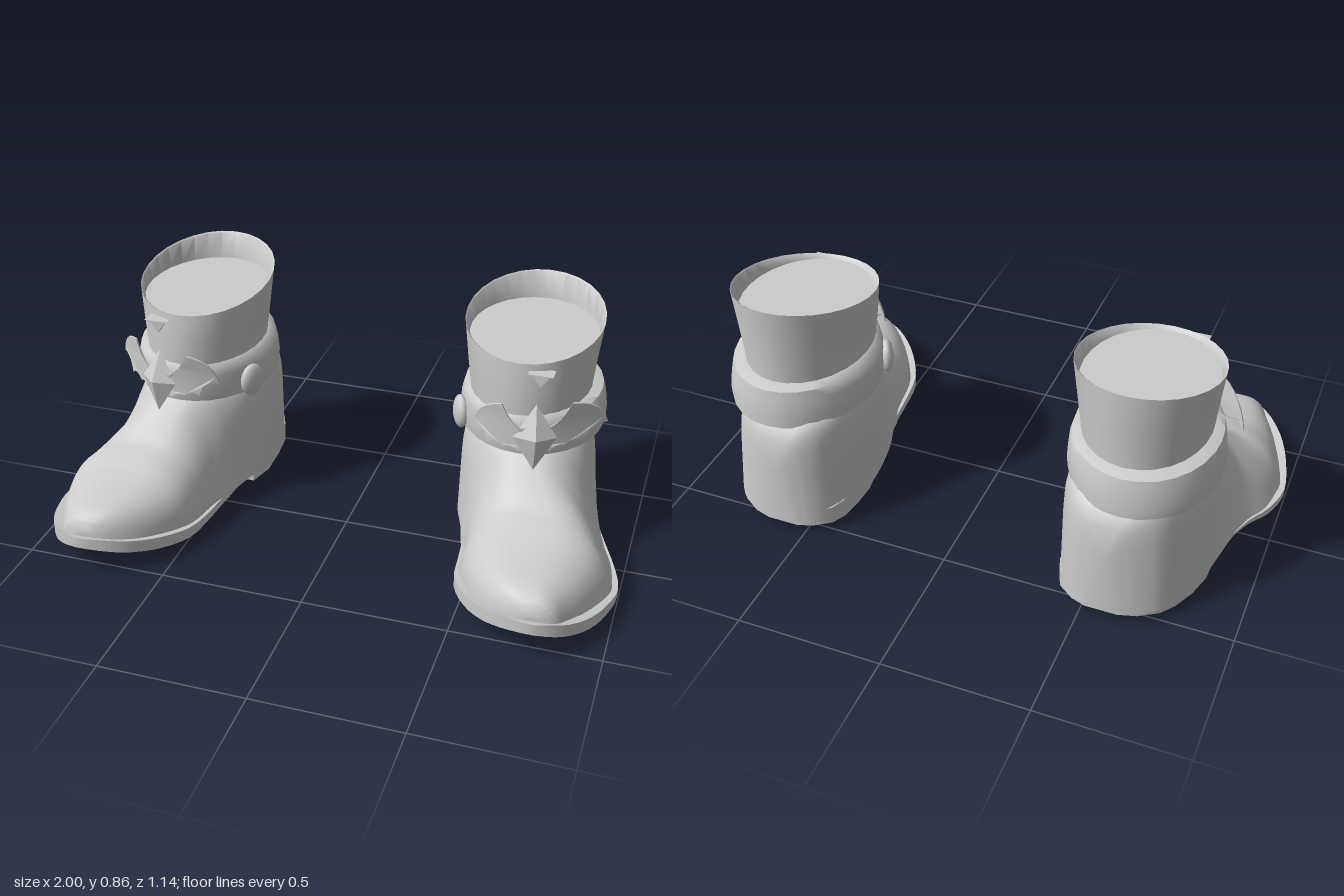
import * as THREE from 'three';
import { toCreasedNormals } from 'three/addons/utils/BufferGeometryUtils.js';

// Skin over closed rings of points, capped at both ends and facing outward
function loft(rings) {
  const n = rings[0].length, pts = rings.flat(), idx = [];
  for (let r = 0; r < rings.length - 1; r++) {
    for (let i = 0; i < n; i++) {
      const a = r * n + i, b = r * n + (i + 1) % n;
      idx.push(a, b, b + n, a, b + n, a + n);
    }
  }
  const cap = (start, flip) => {
    const mid = new THREE.Vector3();
    for (let i = 0; i < n; i++) mid.addScaledVector(pts[start + i], 1 / n);
    const m = pts.push(mid) - 1;
    for (let i = 0; i < n; i++) {
      const a = start + i, b = start + (i + 1) % n;
      idx.push(m, flip ? b : a, flip ? a : b);
    }
  };
  const last = (rings.length - 1) * n;
  cap(0, true);
  cap(last, false);
  let volume = 0;
  const cross = new THREE.Vector3();
  for (let i = 0; i < idx.length; i += 3) {
    volume += cross.crossVectors(pts[idx[i]], pts[idx[i + 1]]).dot(pts[idx[i + 2]]);
  }
  if (volume < 0) idx.reverse();
  const g = new THREE.BufferGeometry().setFromPoints(pts);
  g.setIndex(idx);
  return g;
}

// Interpolate station rows smoothly; the first column must increase
function smooth(rows, steps) {
  const out = [];
  for (let i = 0; i < rows.length - 1; i++) {
    const p = rows[Math.max(i - 1, 0)], a = rows[i], b = rows[i + 1], q = rows[Math.min(i + 2, rows.length - 1)];
    for (let s = 0; s < steps; s++) {
      const t = s / steps;
      out.push(a.map((v, k) => {
        const m0 = (b[k] - p[k]) / (b[0] - p[0]) * (b[0] - a[0]);
        const m1 = (q[k] - a[k]) / (q[0] - a[0]) * (b[0] - a[0]);
        return (2 * t ** 3 - 3 * t * t + 1) * v + (t ** 3 - 2 * t * t + t) * m0
          + (3 * t * t - 2 * t ** 3) * b[k] + (t ** 3 - t * t) * m1;
      }));
    }
  }
  out.push(rows[rows.length - 1]);
  return out;
}

// Arched section: z, bottom x range, bottom y, top y, top x range, squareness
function arch([z, xi, xo, yb, yt, ti, to, e], n = 22) {
  const ring = [];
  for (let i = 0; i <= n; i++) {
    const a = Math.PI * i / n, c = Math.cos(a);
    const px = Math.sign(c) * Math.abs(c) ** e, py = Math.max(Math.sin(a), 0) ** e;
    const mid = THREE.MathUtils.lerp((xi + xo) / 2, (ti + to) / 2, py);
    const half = THREE.MathUtils.lerp((xo - xi) / 2, (to - ti) / 2, py);
    ring.push(new THREE.Vector3(mid + half * px, yb + (yt - yb) * py, z));
  }
  return ring;
}

// Horizontal ellipse: y, x range, z range, rise toward the back
function oval([y, x0, x1, z0, z1, slope = 0], n = 28) {
  return Array.from({ length: n }, (_, i) => {
    const a = Math.PI * 2 * i / n;
    const z = (z0 + z1) / 2 + (z1 - z0) / 2 * Math.sin(a);
    return new THREE.Vector3((x0 + x1) / 2 + (x1 - x0) / 2 * Math.cos(a), y + (z1 - z) * slope, z);
  });
}

// Four-cornered section for the sole and heel: z, x range, y range
const slab = ([z, x0, x1, y0, y1]) =>
  [[x0, y0], [x1, y0], [x1, y1], [x0, y1]].map(([x, y]) => new THREE.Vector3(x, y, z));

// Mirror loose triangles in x and keep them facing outward
function mirrorX(g) {
  const p = g.attributes.position.array;
  for (let i = 0; i < p.length; i += 9) {
    for (let k = 0; k < 3; k++) [p[i + k], p[i + 6 + k]] = [p[i + 6 + k], p[i + k]];
    for (let k = 0; k < 9; k += 3) p[i + k] *= -1;
  }
}

// Crease the normals, mirroring for the right boot
function finish(source, mirror, angle) {
  const g = source.index ? source.toNonIndexed() : source.clone();
  for (const key of Object.keys(g.attributes)) if (key !== 'position') g.deleteAttribute(key);
  g.clearGroups();
  if (mirror) mirrorX(g);
  return toCreasedNormals(g, angle);
}

export function createModel() {
  const leather = new THREE.MeshStandardMaterial({ color: 0xcccccc });
  leather.name = 'grey leather';
  const parts = [];
  const part = (name, geometry, angle = 0.8) => parts.push({ name, geometry, angle });

  // Foot and ankle
  part('footUpper', loft(smooth([
    [-0.57, 0.53, 0.62, 0.06, 0.33, 0.54, 0.61, 0.4],
    [-0.55, 0.475, 0.685, 0.05, 0.40, 0.485, 0.66, 0.35],
    [-0.50, 0.42, 0.76, 0.05, 0.45, 0.43, 0.73, 0.3],
    [-0.40, 0.385, 0.82, 0.05, 0.47, 0.385, 0.78, 0.25],
    [-0.25, 0.37, 0.86, 0.06, 0.47, 0.375, 0.82, 0.25],
    [-0.10, 0.385, 0.895, 0.08, 0.47, 0.395, 0.81, 0.35],
    [0.00, 0.42, 0.93, 0.07, 0.455, 0.46, 0.78, 0.5],
    [0.06, 0.435, 0.96, 0.055, 0.41, 0.49, 0.80, 0.68],
    [0.12, 0.455, 0.975, 0.05, 0.35, 0.49, 0.86, 0.72],
    [0.17, 0.465, 0.98, 0.05, 0.305, 0.49, 0.91, 0.72],
    [0.22, 0.47, 0.985, 0.05, 0.285, 0.49, 0.94, 0.72],
    [0.30, 0.485, 0.965, 0.055, 0.255, 0.50, 0.93, 0.7],
    [0.40, 0.54, 0.925, 0.065, 0.235, 0.55, 0.90, 0.7],
    [0.48, 0.605, 0.88, 0.085, 0.22, 0.62, 0.86, 0.7],
    [0.525, 0.67, 0.85, 0.10, 0.195, 0.68, 0.84, 0.7],
    [0.545, 0.72, 0.81, 0.11, 0.16, 0.73, 0.80, 0.7],
  ], 3).map((s) => arch(s))), 0.9);

  // Upturned sole edge
  part('sole', loft(smooth([
    [-0.14, 0.41, 0.88, 0.08, 0.085],
    [-0.02, 0.42, 0.925, 0.07, 0.085],
    [0.08, 0.445, 0.97, 0.045, 0.07],
    [0.20, 0.458, 1.0, 0.04, 0.07],
    [0.32, 0.475, 0.98, 0.045, 0.085],
    [0.43, 0.535, 0.94, 0.06, 0.105],
    [0.51, 0.61, 0.885, 0.08, 0.125],
    [0.55, 0.68, 0.835, 0.095, 0.14],
    [0.57, 0.75, 0.785, 0.105, 0.145],
  ], 3).map(slab)));

  // Heel block with a gently worn base
  part('heel', loft([
    [-0.565, 0.52, 0.63, 0.04, 0.1],
    [-0.545, 0.47, 0.69, 0.037, 0.1],
    [-0.50, 0.415, 0.755, 0.033, 0.1],
    [-0.45, 0.395, 0.79, 0.03, 0.1],
    [-0.36, 0.39, 0.825, 0.018, 0.1],
    [-0.26, 0.395, 0.845, 0.002, 0.1],
    [-0.135, 0.41, 0.855, 0.02, 0.09],
  ].map(slab)), 1.2);

  // Shaft with a thin slanted rim and a recessed inside
  part('shaft', loft([
    [0.46, 0.395, 0.805, -0.49, 0.045],
    [0.58, 0.39, 0.805, -0.49, 0.048, 0.02],
    [0.67, 0.375, 0.815, -0.50, 0.05, 0.09],
    [0.76, 0.36, 0.828, -0.508, 0.042, 0.18],
    [0.757, 0.365, 0.823, -0.503, 0.037, 0.18],
    [0.748, 0.378, 0.812, -0.49, 0.03, 0.02],
  ].map((r) => oval(r))), 0.7);

  // Folded cuff around the ankle
  part('cuff', loft([
    [0.425, 0.39, 0.82, -0.51, 0.03],
    [0.432, 0.362, 0.853, -0.545, 0.05],
    [0.47, 0.356, 0.858, -0.545, 0.058],
    [0.53, 0.36, 0.85, -0.538, 0.06],
    [0.568, 0.37, 0.84, -0.53, 0.056],
    [0.58, 0.40, 0.80, -0.49, 0.04],
  ].map((r) => oval(r))), 1.0);

  // Stud on the inner side of the cuff
  const stud = new THREE.SphereGeometry(1, 14, 10).scale(0.024, 0.06, 0.05);
  part('cuffStud', stud.rotateY(0.5).translate(0.382, 0.48, -0.09), 1.2);

  // Scalloped wings, bent around the ankle
  const wing = new THREE.Shape();
  wing.moveTo(0, 0.555);
  wing.lineTo(0.045, 0.55);
  wing.quadraticCurveTo(0.08, 0.565, 0.11, 0.63);
  wing.quadraticCurveTo(0.195, 0.615, 0.215, 0.52);
  wing.quadraticCurveTo(0.185, 0.535, 0.165, 0.515);
  wing.lineTo(0.15, 0.475);
  wing.quadraticCurveTo(0.125, 0.51, 0.095, 0.475);
  wing.quadraticCurveTo(0.08, 0.495, 0.05, 0.465);
  wing.lineTo(0, 0.48);
  for (const side of [1, -1]) {
    const g = new THREE.ExtrudeGeometry(wing, { depth: 0.009, bevelEnabled: false, curveSegments: 6 });
    if (side < 0) mirrorX(g);
    const p = g.attributes.position;
    for (let i = 0; i < p.count; i++) {
      const dx = p.getX(i);
      p.setXYZ(i, 0.665 + dx, p.getY(i), p.getZ(i) + 0.07 - 0.34 * dx - 2.2 * dx * dx);
    }
    part(side > 0 ? 'outerWing' : 'innerWing', g, 0.5);
  }

  // Faceted diamond between the wings
  const gem = new THREE.OctahedronGeometry(1).scale(0.072, 0.116, 0.042);
  part('diamond', gem.rotateX(-0.13).rotateY(0.25).translate(0.668, 0.515, 0.072), 0.2);

  // Small pointed clasp at the front of the shaft
  const clasp = [
    ['claspBar', [[-0.042, 0.738], [0, 0.722], [0.042, 0.738]], 0.05],
    ['claspPoint', [[-0.025, 0.725], [0, 0.688], [0.025, 0.725]], 0.038],
  ];
  for (const [name, corners, depth] of clasp) {
    const shape = new THREE.Shape(corners.map(([x, y]) => new THREE.Vector2(x, y)));
    part(name, new THREE.ExtrudeGeometry(shape, { depth, bevelEnabled: false }).translate(0.67, 0, 0.015), 0.3);
  }

  // Left boot and its mirrored partner
  const model = new THREE.Group();
  model.name = 'boots';
  for (const mirror of [false, true]) {
    const boot = new THREE.Group();
    boot.name = mirror ? 'rightBoot' : 'leftBoot';
    for (const { name, geometry, angle } of parts) {
      const mesh = new THREE.Mesh(finish(geometry, mirror, angle), leather);
      mesh.name = name;
      boot.add(mesh);
    }
    model.add(boot);
  }
  return model;
}
